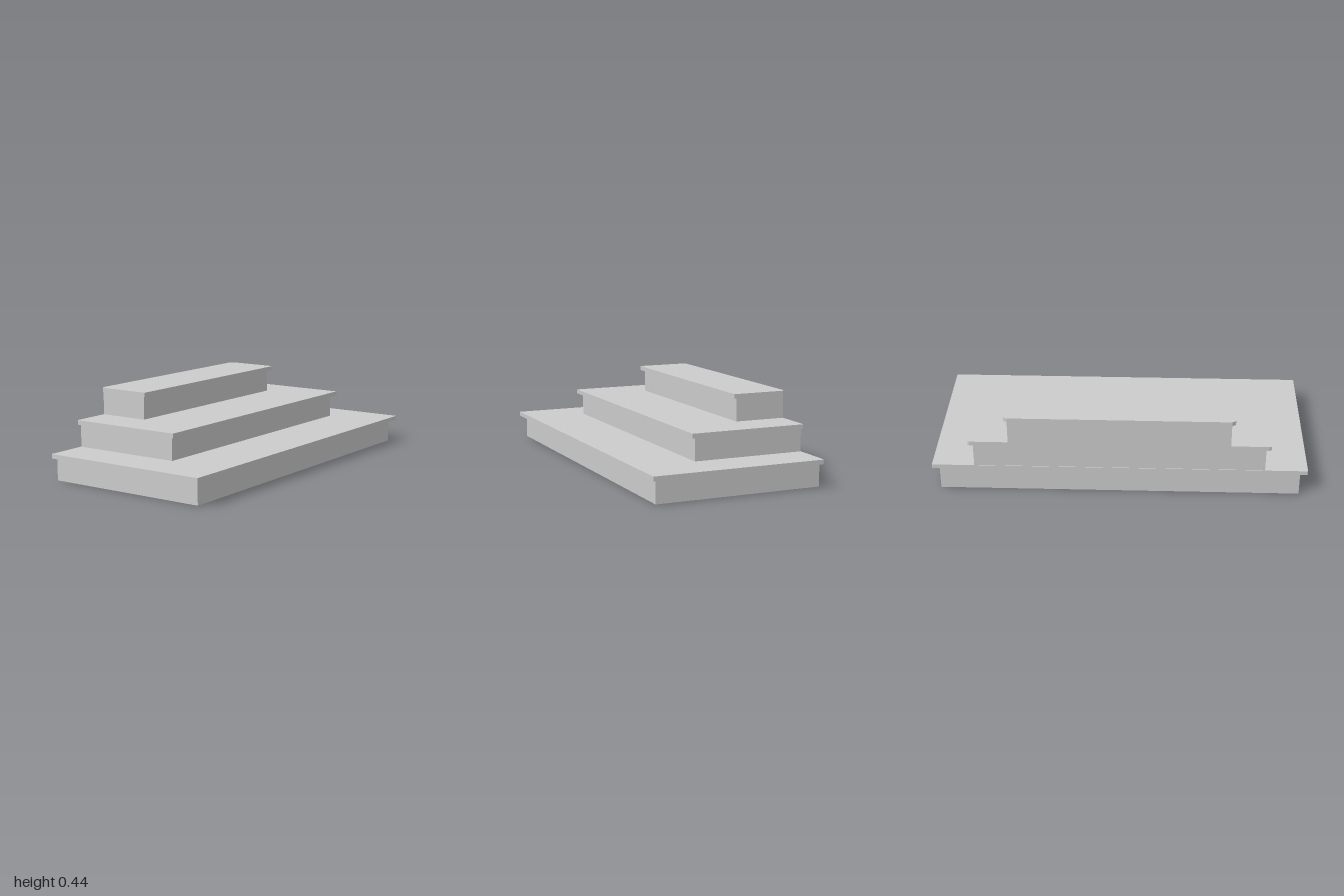
import * as THREE from 'three';

const BACK = -0.47;

// Horizontal slab whose two back corners are clipped by cx, cz
function slabGeometry(halfWidth, front, back, thickness, cx, cz) {
  const shape = new THREE.Shape([
    [-halfWidth, -front], [halfWidth, -front],
    [halfWidth, -back - cz], [halfWidth - cx, -back],
    [-halfWidth + cx, -back], [-halfWidth, -back - cz],
  ].map(([x, y]) => new THREE.Vector2(x, y)));
  return new THREE.ExtrudeGeometry(shape, { depth: thickness, bevelEnabled: false }).rotateX(-Math.PI / 2);
}

export function createModel() {
  const model = new THREE.Group();
  model.name = 'steps';
  const material = new THREE.MeshStandardMaterial({ color: 0xcccccc, flatShading: true });

  // Each step: a recessed base block and an overhanging tread
  const steps = [
    { name: 'lower', y: 0, top: 0.148, base: [0.96, 0.443], tread: [1.0, 0.473, -0.473], clip: [0.003, 0.003] },
    { name: 'middle', y: 0.148, top: 0.296, base: [0.773, 0.142], tread: [0.8, 0.17, BACK], clip: [0.012, 0.004] },
    { name: 'upper', y: 0.296, top: 0.445, base: [0.587, -0.19], tread: [0.607, -0.167, BACK], clip: [0.02, 0.013] },
  ];
  const thickness = 0.024;

  for (const { name, y, top, base, tread, clip } of steps) {
    const [halfWidth, front] = base;
    const height = top - thickness - y;
    const block = new THREE.Mesh(new THREE.BoxGeometry(halfWidth * 2, height, front - BACK), material);
    block.name = `${name}Base`;
    block.position.set(0, y + height / 2, (front + BACK) / 2);

    const slab = new THREE.Mesh(slabGeometry(...tread, thickness, ...clip), material);
    slab.name = `${name}Tread`;
    slab.position.y = top - thickness;
    model.add(block, slab);
  }
  return model;
}
